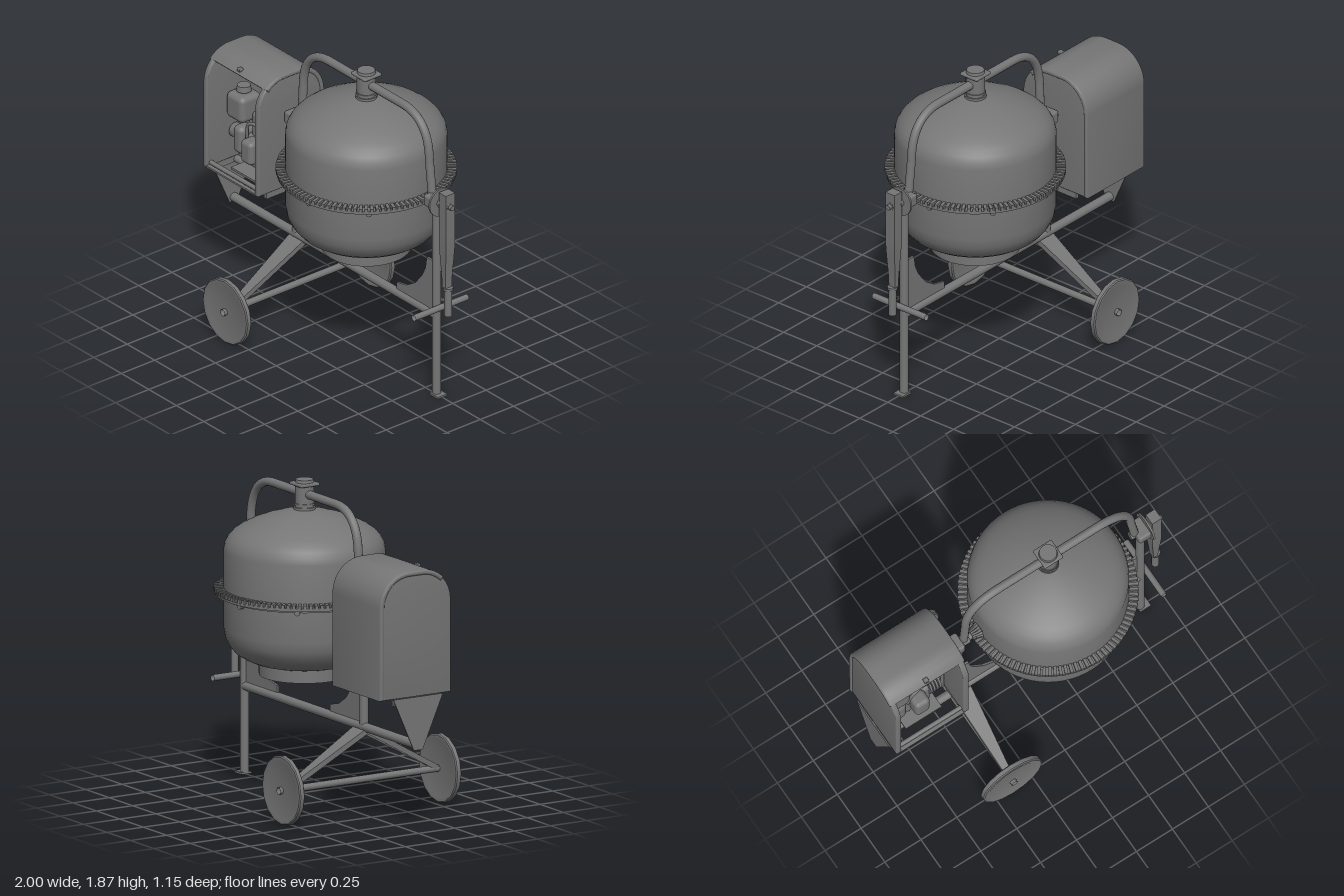
import * as THREE from 'three';
import { toCreasedNormals } from 'three/addons/utils/BufferGeometryUtils.js';
import { RoundedBoxGeometry } from 'three/addons/geometries/RoundedBoxGeometry.js';

const mat = new THREE.MeshStandardMaterial({ color: 0x767676 });
const thin = new THREE.MeshStandardMaterial({ color: 0x767676, side: THREE.DoubleSide });
const V = (x, y, z) => new THREE.Vector3(x, y, z);

export function createModel() {
  const root = new THREE.Group();
  let target = root;
  const group = (name) => {
    target = new THREE.Group();
    target.name = name;
    root.add(target);
  };
  const add = (name, geo, x = 0, y = 0, z = 0, m = mat) => {
    const mesh = new THREE.Mesh(geo, m);
    mesh.name = name;
    mesh.position.set(x, y, z);
    target.add(mesh);
    return mesh;
  };
  const box = (name, w, h, d, x, y, z) => add(name, new THREE.BoxGeometry(w, h, d), x, y, z);
  const rbox = (name, w, h, d, r, x, y, z) => add(name, new RoundedBoxGeometry(w, h, d, 3, r), x, y, z);
  // Round bar from a to b, radius r at a and r2 at b
  const rod = (name, a, b, r, r2 = r, seg = 20, open = false) => {
    const d = b.clone().sub(a);
    const mesh = add(name, new THREE.CylinderGeometry(r2, r, d.length(), seg, 1, open), 0, 0, 0, open ? thin : mat);
    mesh.position.copy(a).addScaledVector(d, 0.5);
    mesh.quaternion.setFromUnitVectors(V(0, 1, 0), d.normalize());
    return mesh;
  };
  const rodX = (name, x1, x2, y, z, r, r2 = r, seg = 20) => rod(name, V(x1, y, z), V(x2, y, z), r, r2, seg);
  const rodY = (name, y1, y2, x, z, r, r2 = r, seg = 20) => rod(name, V(x, y1, z), V(x, y2, z), r, r2, seg);
  const shapeOf = (pts) => new THREE.Shape(pts.map((p) => new THREE.Vector2(p[0], p[1])));
  // Outline in (z, y) extruded from x1 to x2
  const extrudeX = (name, pts, x1, x2, bevel = 0) => {
    const geo = new THREE.ExtrudeGeometry(shapeOf(pts), {
      depth: x2 - x1 - 2 * bevel, bevelEnabled: bevel > 0, bevelThickness: bevel,
      bevelSize: bevel, bevelOffset: -bevel, bevelSegments: 3,
    });
    geo.rotateY(-Math.PI / 2);
    return add(name, toCreasedNormals(geo, 0.6), x2 - bevel, 0, 0);
  };
  const lathe = (name, pts, x, seg = 64) => add(name,
    toCreasedNormals(new THREE.LatheGeometry(pts.map((p) => new THREE.Vector2(p[0], p[1])), seg), 0.6), x, 0, 0, thin);

  // Drum with its mouth facing down
  const DX = 0.214;
  group('drum');
  lathe('drumShell', [[0.25, 0.72], [0.265, 0.717], [0.265, 0.79], [0.31, 0.802], [0.36, 0.825], [0.405, 0.855],
    [0.437, 0.893], [0.46, 0.94], [0.47, 1.0], [0.47, 1.46], [0.462, 1.498], [0.443, 1.532], [0.414, 1.562],
    [0.375, 1.589], [0.31, 1.622], [0.23, 1.653], [0.15, 1.676], [0.07, 1.692], [0, 1.697]], DX);
  lathe('ringFlange', [[0.465, 1.185], [0.485, 1.185], [0.485, 1.2], [0.52, 1.2], [0.52, 1.218], [0.465, 1.218]], DX, 80);
  const TEETH = 100;
  const tooth = new THREE.BoxGeometry(0.055, 0.024, 0.019);
  for (let i = 0; i < TEETH; i++) {
    const a = (i / TEETH) * Math.PI * 2;
    add('ringTooth', tooth, DX + Math.cos(a) * 0.498, 1.225, -Math.sin(a) * 0.498).rotation.y = a;
  }
  for (let i = 0; i < 8; i++) {
    const a = (i / 8) * Math.PI * 2 + 0.126, c = Math.cos(a), s = Math.sin(a);
    rod('ringBolt', V(DX + c * 0.465, 1.185, -s * 0.465), V(DX + c * 0.495, 1.185, -s * 0.495), 0.017, 0.017, 8);
  }

  // Bearing hub on top of the drum
  group('topHub');
  rodY('hubBody', 1.68, 1.85, DX, 0, 0.056);
  rodY('hubLowerCollar', 1.695, 1.71, DX, 0, 0.064);
  rodY('hubUpperCollar', 1.72, 1.732, DX, 0, 0.061);
  rbox('hubPlate', 0.13, 0.02, 0.13, 0.008, DX, 1.845, 0);
  rodY('hubCap', 1.85, 1.872, DX, 0, 0.056, 0.052);

  // Bent tube carrying the drum
  group('yoke');
  const path = new THREE.CurvePath();
  path.add(new THREE.LineCurve3(V(-0.372, 1.31, 0), V(-0.36, 1.52, 0)));
  path.add(new THREE.CubicBezierCurve3(V(-0.36, 1.52, 0), V(-0.358, 1.69, 0), V(-0.28, 1.787, 0), V(-0.12, 1.787, 0)));
  path.add(new THREE.LineCurve3(V(-0.12, 1.787, 0), V(0.545, 1.787, 0)));
  path.add(new THREE.CubicBezierCurve3(V(0.545, 1.787, 0), V(0.705, 1.787, 0), V(0.783, 1.69, 0), V(0.787, 1.52, 0)));
  path.add(new THREE.LineCurve3(V(0.787, 1.52, 0), V(0.812, 1.31, 0)));
  add('yokeTube', new THREE.TubeGeometry(path, 90, 0.026, 14), 0, 0, 0, thin);

  // Pivot with drive pinion on the engine side
  group('drivePivot');
  rodX('driveShaft', -0.49, -0.25, 1.287, 0, 0.022);
  rbox('driveBearing', 0.08, 0.08, 0.11, 0.015, -0.432, 1.29, 0);
  rodX('driveCollar', -0.395, -0.345, 1.287, 0, 0.034);
  rodX('pinionCore', -0.32, -0.265, 1.295, 0, 0.026, 0.038);
  for (let i = 0; i < 14; i++) {
    const a = (i / 14) * Math.PI * 2, c = Math.cos(a), s = Math.sin(a);
    rod('pinionTooth', V(-0.325, 1.295 + c * 0.026, s * 0.026), V(-0.262, 1.295 + c * 0.042, s * 0.042), 0.007, 0.01, 4);
  }

  // Pivot, brake disc and tilting lever on the other side
  group('tiltLever');
  rbox('leverBearing', 0.09, 0.075, 0.13, 0.015, 0.853, 1.287, 0);
  rodX('leverShaft', 0.78, 0.98, 1.287, 0, 0.025);
  rodX('brakeDisc', 0.888, 0.9, 1.287, 0, 0.09, 0.09, 32);
  rodX('pivotNut', 0.9, 0.92, 1.287, 0, 0.04, 0.04, 6);
  // The arm stays broad, then narrows above the grip
  const arm = new THREE.BoxGeometry(0.064, 0.63, 0.07, 1, 16, 1);
  const ap = arm.attributes.position;
  for (let i = 0; i < ap.count; i++) {
    const k = THREE.MathUtils.smoothstep(ap.getY(i), -0.315, 0.02);
    ap.setX(i, ap.getX(i) * (0.5 + 0.5 * k));
    ap.setZ(i, ap.getZ(i) * (0.65 + 0.35 * k));
  }
  add('leverArm', toCreasedNormals(arm, 0.6), 0.947, 1.055, 0);
  rodY('leverGrip', 0.565, 0.735, 0.958, 0, 0.023);
  rodY('gripCollar', 0.735, 0.75, 0.958, 0, 0.03);
  rodX('leverPin', 0.95, 1.0, 1.287, 0, 0.016);

  // Tubular frame
  group('frame');
  rodX('mainBeam', -1, 0.853, 0.523, 0, 0.027);
  rodY('enginePost', 0.5, 1.26, -0.421, 0, 0.026);
  rodY('frontPost', 0.005, 1.26, 0.853, 0, 0.026);
  box('frontFoot', 0.075, 0.012, 0.07, 0.869, 0.006, 0);
  rod('footBar', V(0.887, 0.585, -0.2), V(0.887, 0.585, 0.2), 0.019, 0.019, 20, true);
  box('postBracket', 0.07, 0.04, 0.06, -0.432, 1.18, 0);
  const gusset = [[-0.405, 0.54], [-0.067, 0.54], [-0.067, 0.59], [-0.157, 0.61], [-0.237, 0.66],
    [-0.302, 0.74], [-0.33, 0.8], [-0.342, 0.872], [-0.405, 0.872]];
  for (const side of [1, -1]) {
    const pts = side === 1 ? gusset : gusset.map(([x, y]) => [0.43 - x, y]).reverse();
    add('gusset', new THREE.ExtrudeGeometry(shapeOf(pts), { depth: 0.014, bevelEnabled: false }), 0, 0, -0.007);
  }
  extrudeX('endPlate', [[-0.03, 0.495], [0.03, 0.495], [0.17, 0.812], [-0.17, 0.812]], -1, -0.992);

  // Wheels, hollow axle and tapered channel legs
  group('undercarriage');
  const WX = -0.398, WY = 0.207;
  rod('axle', V(WX, WY, -0.575), V(WX, WY, 0.575), 0.021, 0.021, 16, true);
  for (const s of [1, -1]) {
    const wheel = lathe('wheel', [[0.021, -0.015], [0.165, -0.015], [0.175, -0.018], [0.198, -0.018], [0.205, -0.012],
      [0.205, 0.012], [0.198, 0.018], [0.175, 0.018], [0.165, 0.015], [0.021, 0.015]], WX, 16);
    wheel.position.set(WX, WY, s * 0.54);
    wheel.rotation.x = Math.PI / 2;
    // Leg runs along its own z from the beam to the axle
    const leg = new THREE.Group();
    leg.name = 'leg';
    const len = Math.hypot(0.52, 0.296);
    const taper = (geo, cx) => {
      const p = geo.attributes.position;
      for (let i = 0; i < p.count; i++) {
        const half = THREE.MathUtils.lerp(0.06, 0.016, p.getZ(i) / len + 0.5);
        p.setX(i, cx ? cx * half + p.getX(i) : p.getX(i) * half);
      }
      geo.computeVertexNormals();
      return geo;
    };
    const web = add('legWeb', taper(new THREE.BoxGeometry(2, 0.008, len), 0), 0, 0.012, 0);
    const sides = [1, -1].map((c) => add('legFlange', taper(new THREE.BoxGeometry(0.006, 0.032, len), c)));
    leg.add(web, ...sides);
    leg.position.set(WX, 0.36, s * 0.255);
    leg.rotation.set(Math.atan2(0.296, 0.52), s > 0 ? 0 : Math.PI, 0, 'YXZ');
    target.add(leg);
  }

  // Engine housing: wrapped shell and arched side covers, open in front
  group('engineHousing');
  const arch = (inset, end) => {
    const r = 0.2 - inset, pts = [[-0.26 + inset, 0.812]];
    for (let i = 0; i <= 10; i++) {
      const a = Math.PI - (i / 10) * Math.PI / 2;
      pts.push([-0.06 + r * Math.cos(a), 1.36 + r * Math.sin(a)]);
    }
    for (let i = 0; i <= 8; i++) {
      const a = Math.PI / 2 - (i / 8) * (Math.PI / 2 - end);
      pts.push([0.035 + r * Math.cos(a), 1.36 + r * Math.sin(a)]);
    }
    return pts;
  };
  extrudeX('housingShell', [...arch(0, 0.775), ...arch(0.03, 0.775).reverse()], -1, -0.478, 0.012);
  const cover = [...arch(0.004, 0), [0.231, 0.812]];
  extrudeX('outerCover', cover, -0.992, -0.957, 0.008);
  extrudeX('innerCover', cover, -0.525, -0.486, 0.008);
  rbox('latch', 0.03, 0.02, 0.03, 0.005, -0.74, 1.525, 0.16);
  box('beltGuard', 0.025, 0.66, 0.16, -0.54, 1.16, -0.05);

  // Support tray beneath the housing
  group('engineTray');
  rodX('centreRail', -1, -0.425, 0.787, 0, 0.023);
  rodX('frontRail', -0.96, -0.52, 0.835, 0.2, 0.014);
  box('frontLip', 0.44, 0.012, 0.025, -0.74, 0.818, 0.222);
  for (const x of [-0.975, -0.51]) box('trayArm', 0.022, 0.04, 0.32, x, 0.79, 0);
  box('enginePlate', 0.25, 0.014, 0.3, -0.735, 0.812, -0.02);

  // Engine
  group('engine');
  rbox('crankcase', 0.2, 0.2, 0.2, 0.03, -0.73, 0.93, -0.04);
  rbox('cylinderBlock', 0.13, 0.18, 0.14, 0.025, -0.735, 1.09, -0.04);
  rodY('sparkPlug', 1.17, 1.25, -0.722, -0.03, 0.025, 0.01);
  rbox('fuelTank', 0.155, 0.17, 0.16, 0.035, -0.875, 1.19, 0.02);
  rodY('tankNeck', 1.25, 1.285, -0.875, 0.02, 0.03);
  rodY('tankCap', 1.285, 1.32, -0.875, 0.02, 0.045, 0.04);
  rodY('tankOutlet', 1.02, 1.13, -0.87, 0.0, 0.014);
  rbox('muffler', 0.085, 0.18, 0.12, 0.035, -0.86, 0.98, 0.03);
  rbox('airFilter', 0.1, 0.15, 0.1, 0.028, -0.733, 0.963, 0.08);
  rodX('starterKnob', -0.945, -0.9, 1.0, 0.03, 0.045);
  for (let i = 0; i < 4; i++) rodX('coolingRib', -0.65 + i * 0.02, -0.636 + i * 0.02, 0.995, -0.02, 0.1, 0.1, 28);
  rodX('flywheelShaft', -0.68, -0.53, 0.995, -0.02, 0.035);
  rodX('drivePulley', -0.575, -0.555, 1.287, -0.02, 0.05);
  rodX('pulleyShaft', -0.59, -0.48, 1.287, -0.02, 0.018);
  const hose = new THREE.CatmullRomCurve3([V(-0.8, 1.0, 0.06), V(-0.77, 1.12, 0.07), V(-0.7, 1.13, 0.06), V(-0.64, 1.06, 0.04)]);
  add('hose', new THREE.TubeGeometry(hose, 20, 0.01, 8));
  return root;
}
